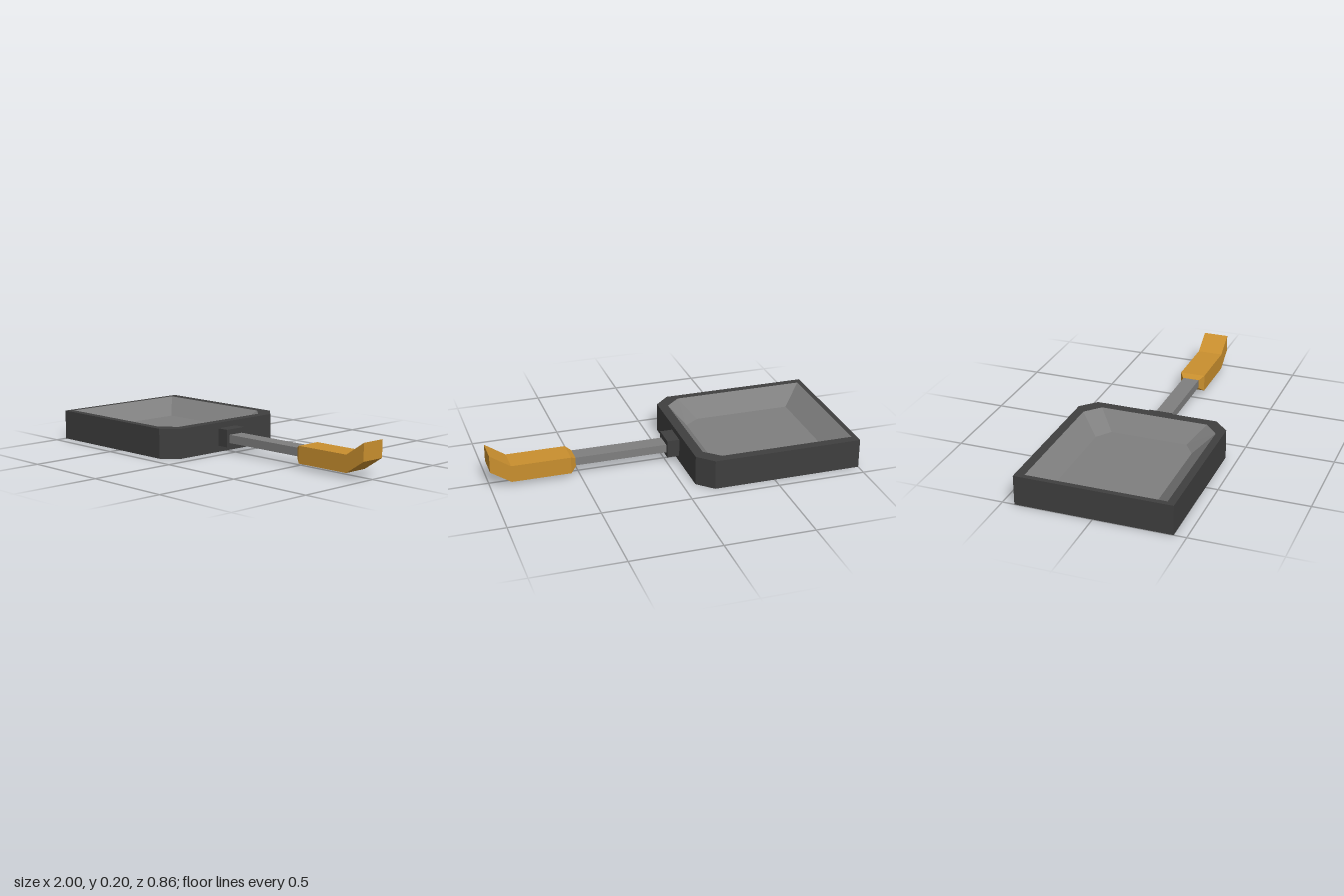
import * as THREE from 'three';

const material = (name, color) => {
  const m = new THREE.MeshStandardMaterial({ color, flatShading: true });
  m.name = name;
  return m;
};

// Joins matching rings of points in order; caps close the first and last ring.
function loft(rings, capStart, capEnd) {
  const pos = [];
  const tri = (...pts) => pts.forEach((p) => pos.push(...p));
  for (let r = 0; r < rings.length - 1; r++) {
    const a = rings[r], b = rings[r + 1];
    a.forEach((p, i) => {
      const j = (i + 1) % a.length;
      tri(p, a[j], b[j]);
      tri(p, b[j], b[i]);
    });
  }
  const first = rings[0], last = rings[rings.length - 1];
  for (let i = 1; i < first.length - 1; i++) {
    if (capStart) tri(first[0], first[i + 1], first[i]);
    if (capEnd) tri(last[0], last[i], last[i + 1]);
  }
  const g = new THREE.BufferGeometry();
  g.setAttribute('position', new THREE.Float32BufferAttribute(pos, 3));
  g.computeVertexNormals();
  return g;
}

// Rectangle at height y with its two +x corners cut off, counterclockwise from above.
const panRing = (y, x0, x1, z0, z1, cutX, cutZ) => [
  [x1, y, z1 - cutZ], [x1, y, z0 + cutZ], [x1 - cutX, y, z0],
  [x0, y, z0], [x0, y, z1], [x1 - cutX, y, z1],
];

// Rectangular section across the handle at x.
const gripRing = (x, y0, y1, w) => [[x, y1, -w], [x, y1, w], [x, y0, w], [x, y0, -w]];

export function createModel() {
  const group = new THREE.Group();
  group.name = 'dustpan';
  const dark = material('dark iron', 0x3f3f3f);
  const grey = material('grey steel', 0x7f7f7f);
  const wood = material('wood', 0xc98f2e);

  const add = (name, geometry, mat, x = 0, y = 0, z = 0) => {
    const mesh = new THREE.Mesh(geometry, mat);
    mesh.name = name;
    mesh.position.set(x, y, z);
    group.add(mesh);
  };

  // Tray shell with its rim, and the sloped basin inside it
  const bottom = panRing(0, -1, -0.07, -0.432, 0.432, 0.085, 0.082);
  const top = panRing(0.167, -1, -0.07, -0.432, 0.432, 0.085, 0.082);
  const lip = panRing(0.167, -0.97, -0.125, -0.381, 0.39, 0.085, 0.077);
  const floor = panRing(0.07, -0.855, -0.21, -0.274, 0.284, 0.085, 0.06);
  add('trayShell', loft([bottom, top, lip], true, false), dark);
  add('trayBasin', loft([lip, floor], false, true), grey);

  // Socket and rod
  add('socket', new THREE.BoxGeometry(0.08, 0.1, 0.134), dark, -0.04, 0.085, 0);
  add('rod', new THREE.BoxGeometry(0.54, 0.047, 0.094), grey, 0.265, 0.081, 0);

  // Grip: tapered start, straight body, upturned end
  add('grip', loft([
    gripRing(0.522, 0.052, 0.105, 0.05),
    gripRing(0.553, 0.027, 0.123, 0.073),
    gripRing(0.885, 0.027, 0.123, 0.073),
    gripRing(1, 0.102, 0.2, 0.073),
  ], true, true), wood);

  return group;
}
